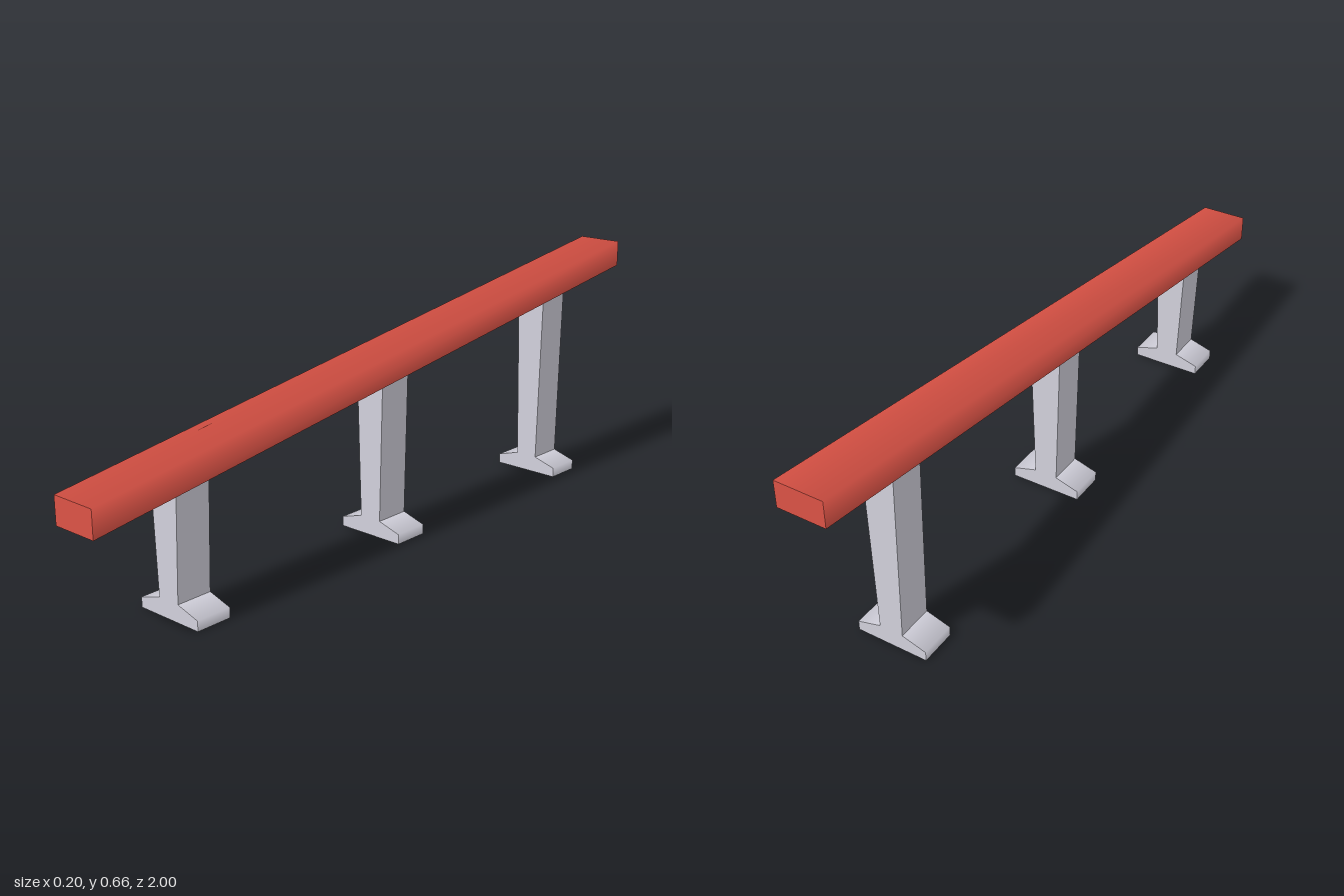
import * as THREE from 'three';

const railRed = new THREE.MeshStandardMaterial({ name: 'railRed', color: 0xdc5346 });
const legGrey = new THREE.MeshStandardMaterial({ name: 'legGrey', color: 0xd2d1dc });

// Height of the rail's underside at depth z
const undersideAt = (z) => 0.4375 - 0.1455 * z;

// Give the chosen vertices a rounded normal pointing out and up
function softenCorners(geometry, test, outward) {
  const { position, normal } = geometry.attributes;
  const p = new THREE.Vector3();
  const n = new THREE.Vector3();
  for (let i = 0; i < position.count; i++) {
    p.fromBufferAttribute(position, i);
    n.fromBufferAttribute(normal, i);
    if (!test(p, n)) continue;
    n.set(Math.sign(p.x) * outward, 1, 0).normalize();
    normal.setXYZ(i, n.x, n.y, n.z);
  }
}

// Sloping bar with vertical ends; its top blends softly into its sides
function makeRail() {
  const height = 0.073;
  const geometry = new THREE.BoxGeometry(0.131, height, 2);
  geometry.translate(0, height / 2, 0);
  softenCorners(geometry, (p, n) => p.y > height / 2 && Math.abs(n.z) < 0.5, 1);
  const position = geometry.attributes.position;
  for (let i = 0; i < position.count; i++) {
    position.setY(i, position.getY(i) + undersideAt(position.getZ(i)));
  }
  const rail = new THREE.Mesh(geometry, railRed);
  rail.name = 'rail';
  return rail;
}

// Flared post on a wide foot, cut at the top to the rail's slope
function makeLeg(z, name) {
  const depth = 0.1;
  const top = undersideAt(z);
  const half = [[0.1, 0], [0.1, 0.027], [0.033, 0.047], [0.044, top]];
  const mirrored = half.map(([x, y]) => [-x, y]).reverse();
  const shape = new THREE.Shape([...half, ...mirrored].map(([x, y]) => new THREE.Vector2(x, y)));
  const geometry = new THREE.ExtrudeGeometry(shape, { depth, bevelEnabled: false });
  geometry.translate(0, 0, z - depth / 2);
  softenCorners(geometry, (p, n) => Math.abs(p.y - 0.027) < 0.001 && Math.abs(n.z) < 0.5, 1.3);
  const position = geometry.attributes.position;
  for (let i = 0; i < position.count; i++) {
    if (position.getY(i) > 0.2) position.setY(i, undersideAt(position.getZ(i)) + 0.002);
  }
  const leg = new THREE.Mesh(geometry, legGrey);
  leg.name = name;
  return leg;
}

export function createModel() {
  const model = new THREE.Group();
  model.name = 'slopingRail';
  model.add(makeRail());
  [[0.7, 'frontLeg'], [0, 'middleLeg'], [-0.7, 'backLeg']].forEach(([z, name]) => model.add(makeLeg(z, name)));
  return model;
}
